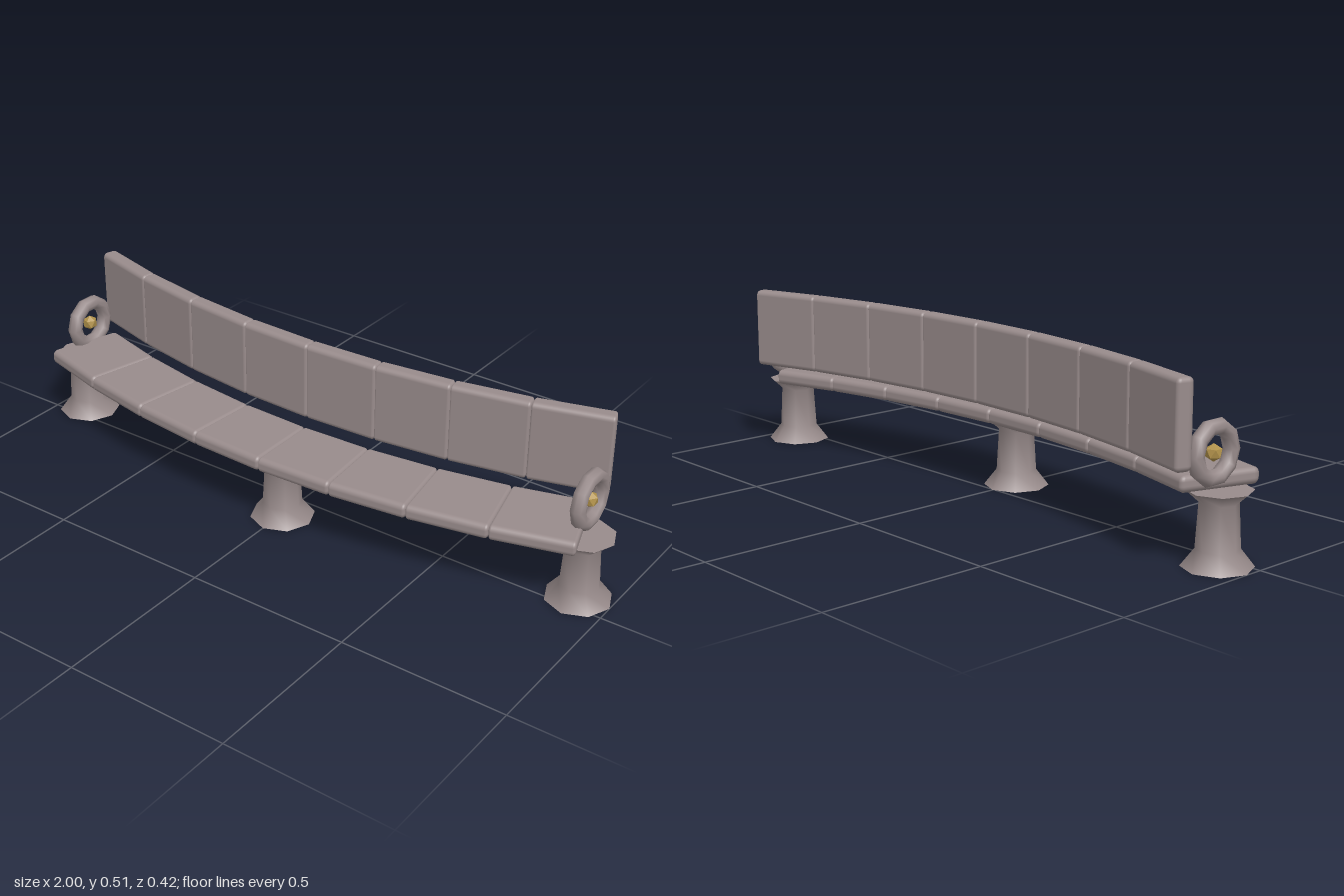
import * as THREE from 'three';
import { RoundedBoxGeometry } from 'three/addons/geometries/RoundedBoxGeometry.js';
import { mergeGeometries } from 'three/addons/utils/BufferGeometryUtils.js';

const R = 2.92;                             // radius of the bench curve
const STEP = THREE.MathUtils.degToRad(4.5); // angle covered by one slab
const COUNT = 8;
const RHO = R * Math.cos(STEP / 2);         // radius at the middle of a slab

// Rounded slab, tapered so neighbours meet in a mitre; the bevel is narrower at the joints
function slabGeometry(height, depth, bevel) {
  const half = R * Math.sin(STEP / 2);
  const geo = new RoundedBoxGeometry(half * 2, height, depth, 3, bevel);
  const p = geo.attributes.position;
  for (let i = 0; i < p.count; i++) {
    const x = p.getX(i);
    const ax = Math.abs(x);
    const squeezed = ax >= half - bevel - 1e-5 ? half - (half - ax) * 0.5 : ax;
    p.setX(i, Math.sign(x) * squeezed * (RHO + p.getZ(i)) / RHO);
  }
  return geo;
}

// Row of slabs along the arc, bulging toward the front
function curvedRow(name, geo, material, y, z) {
  const row = new THREE.Group();
  row.name = name;
  for (let i = 0; i < COUNT; i++) {
    const angle = (i - (COUNT - 1) / 2) * STEP;
    const slab = new THREE.Mesh(geo, material);
    slab.name = name + 'Slab';
    slab.position.set(RHO * Math.sin(angle), y, z - R + RHO * Math.cos(angle));
    slab.rotation.y = angle;
    row.add(slab);
  }
  return row;
}

// Eight-sided flared pedestal with closed ends
function legGeometry() {
  const profile = [[0.0965, 0], [0.059, 0.048], [0.052, 0.17], [0.09, 0.204]]
    .map(([r, y]) => new THREE.Vector2(r, y));
  const bottom = new THREE.CircleGeometry(0.0965, 8).rotateX(Math.PI / 2);
  const top = new THREE.CircleGeometry(0.09, 8).rotateX(-Math.PI / 2).translate(0, 0.204, 0);
  return mergeGeometries([new THREE.LatheGeometry(profile, 8), bottom, top]);
}

export function createModel() {
  const stone = new THREE.MeshStandardMaterial({ color: 0x988b8b });
  stone.name = 'warm grey stone';
  const gold = new THREE.MeshStandardMaterial({ color: 0xb0914a });
  gold.name = 'dull gold';

  const bench = new THREE.Group();
  bench.name = 'curvedBench';
  const add = (name, geo, material, x, y, z) => {
    const mesh = new THREE.Mesh(geo, material);
    mesh.name = name;
    mesh.position.set(x, y, z);
    bench.add(mesh);
  };

  // Seat and backrest
  bench.add(curvedRow('seat', slabGeometry(0.046, 0.236, 0.017), stone, 0.2255, 0.095));
  bench.add(curvedRow('backrest', slabGeometry(0.241, 0.05, 0.015), stone, 0.391, -0.047));

  // Legs
  const leg = legGeometry();
  add('middleLeg', leg, stone, 0, 0, 0.092);

  // End legs, ring armrests and the gold beads floating in them
  const ring = new THREE.TorusGeometry(0.0685, 0.0225, 8, 10).rotateY(Math.PI / 2);
  const bead = new THREE.IcosahedronGeometry(0.024).rotateZ(-0.5536);
  for (const [side, s] of [['left', 1], ['right', -1]]) {
    add(side + 'Leg', leg, stone, s * 0.9035, 0, -0.053);
    add(side + 'ArmRing', ring, stone, s * 0.9, 0.3025, -0.076);
    add(side + 'Bead', bead, gold, s * 0.9, 0.3025, -0.076);
  }
  return bench;
}
